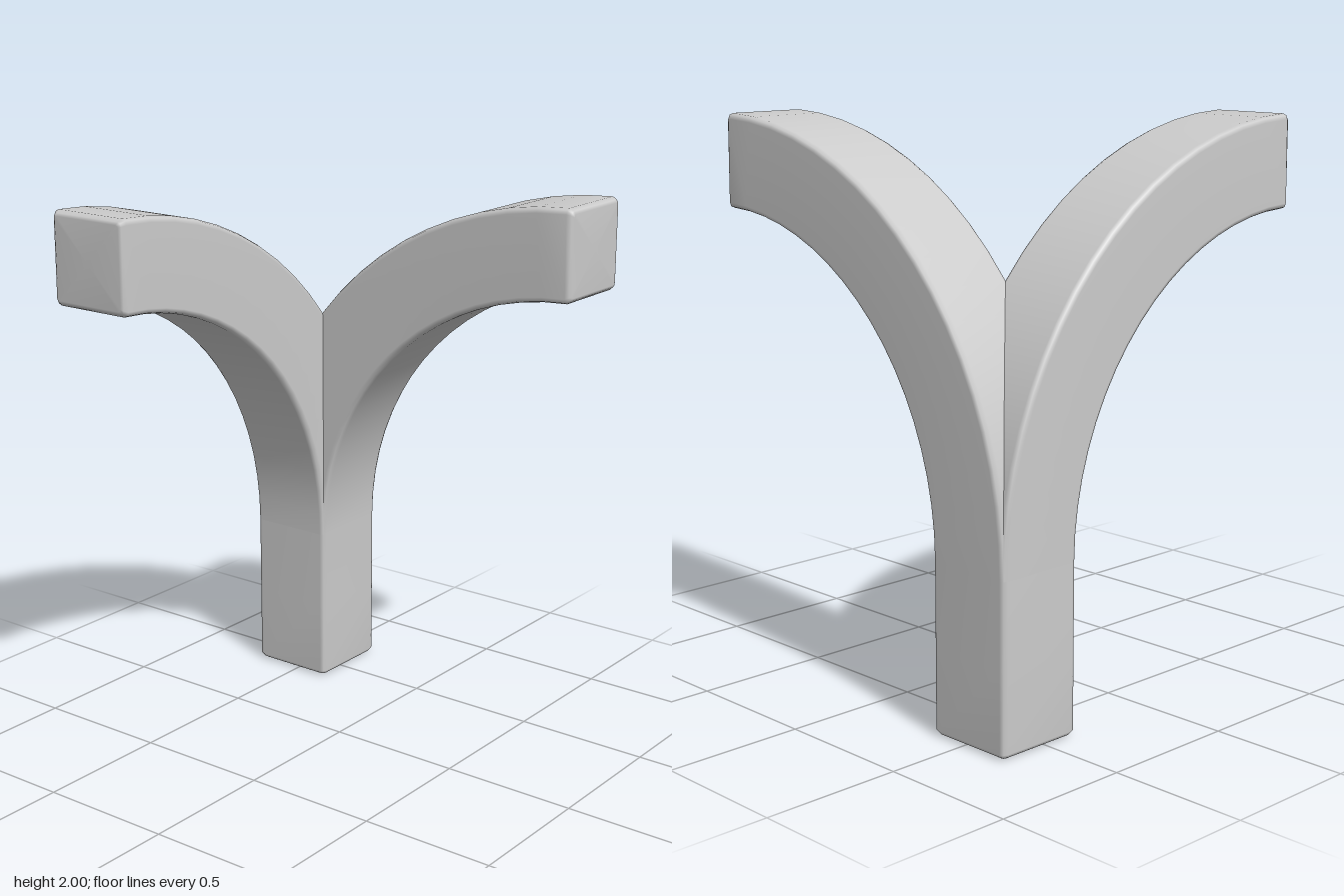
import * as THREE from 'three';

const HALF = 0.166;      // half width of the square beam
const BEVEL = 0.02;      // rounding of its edges
const RADIUS = 1.234;    // bend radius of the beam's centre line
const SPRING = 0.6;      // height where the bend starts

// Rounded square outline, counter-clockwise, as [u, v] pairs
function outline(inset) {
  const points = [], core = HALF - BEVEL;
  const r = BEVEL - inset * 0.5, c = core - inset * 0.5;
  for (let corner = 0; corner < 4; corner++) {
    const mid = Math.PI / 4 + corner * Math.PI / 2;
    for (let k = -1; k <= 1; k++) {
      const a = mid + k * Math.PI / 4;
      points.push([
        Math.sign(Math.cos(mid)) * c + r * Math.cos(a),
        Math.sign(Math.sin(mid)) * c + r * Math.sin(a)]);
    }
  }
  return points;
}

// Straight post sections: bend angle 0, rising heights
const postSections = [[0, BEVEL], [0.006, 0.01], [BEVEL, 0], [0.3, 0]]
  .map(([y, inset]) => ({ angle: 0, y, inset }));

// Quarter-circle bend sections, ending in a softened tip
function bendSections() {
  const sections = [], steps = 18;
  const last = Math.PI / 2 - BEVEL / RADIUS;
  for (let i = 0; i <= steps; i++) {
    sections.push({ angle: last * i / steps, y: SPRING, inset: 0 });
  }
  sections.push({ angle: Math.PI / 2 - 0.006 / RADIUS, y: SPRING, inset: 0.01 });
  sections.push({ angle: Math.PI / 2, y: SPRING, inset: BEVEL });
  return sections;
}

// Skin the sections; the post axis is the local origin and the bend leans to +x
function sweep(sections, closeStart) {
  const pos = [], index = [];
  const place = ({ angle, y }, u, v) => pos.push(
    RADIUS - (RADIUS + u) * Math.cos(angle), y + (RADIUS + u) * Math.sin(angle), v);
  const n = outline(0).length;
  for (const s of sections) for (const [u, v] of outline(s.inset)) place(s, u, v);
  for (let i = 0; i < sections.length - 1; i++) {
    for (let j = 0; j < n; j++) {
      const a = i * n + j, b = i * n + (j + 1) % n;
      index.push(a, b, b + n, a, b + n, a + n);
    }
  }
  // End caps
  const cap = (row, flip) => {
    const centre = pos.length / 3;
    place(sections[row], 0, 0);
    for (let j = 0; j < n; j++) {
      const a = row * n + j, b = row * n + (j + 1) % n;
      index.push(centre, flip ? b : a, flip ? a : b);
    }
  };
  cap(sections.length - 1, false);
  if (closeStart) cap(0, true);
  const geometry = new THREE.BufferGeometry();
  geometry.setAttribute('position', new THREE.Float32BufferAttribute(pos, 3));
  geometry.setIndex(index);
  geometry.computeVertexNormals();
  return geometry;
}

export function createModel() {
  const group = new THREE.Group();
  group.name = 'cornerBracePost';
  const material = new THREE.MeshStandardMaterial({ color: 0xcccccc, roughness: 0.8 });
  const add = (name, geometry, turn) => {
    const mesh = new THREE.Mesh(geometry, material);
    mesh.name = name;
    mesh.position.set(-0.527, 0, -0.534);
    mesh.rotation.y = turn;
    group.add(mesh);
  };
  // Post running on into the sideways arm
  add('postAndSideArm', sweep([...postSections, ...bendSections()], true), 0);
  // Second arm, springing forward from the same post
  add('frontArm', sweep(bendSections(), false), -Math.PI / 2);
  return group;
}
